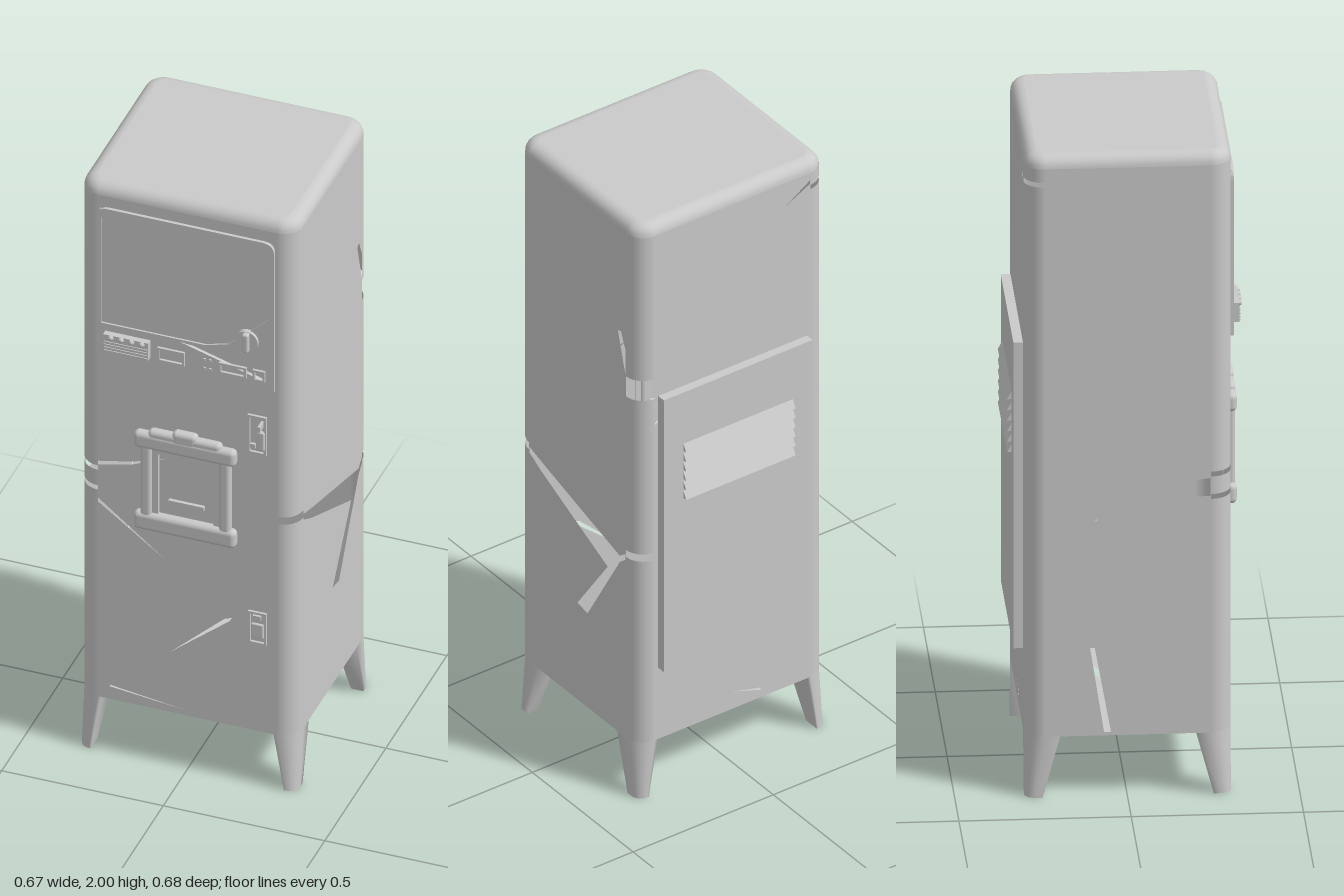
import * as THREE from 'three';
import { RoundedBoxGeometry } from 'three/addons/geometries/RoundedBoxGeometry.js';

const W = 0.337, D = 0.3005, R = 0.06;      // half width, half depth, corner radius
const BASE = 0.19, SHOULDER = 1.962, TOP = 2, ZC = 0.0025;
const FRONT = 0.303, BACK = -0.298;

export function createModel() {
  const model = new THREE.Group();
  const grey = new THREE.MeshStandardMaterial({ color: 0xcacaca, side: THREE.DoubleSide });
  grey.name = 'grey metal';

  const add = (name, geo, x = 0, y = 0, z = 0, parent = model) => {
    const m = new THREE.Mesh(geo, grey);
    m.name = name;
    m.position.set(x, y, z);
    parent.add(m);
    return m;
  };
  // box given by its x, y and z ranges
  const block = (name, x0, x1, y0, y1, z0, z1, r = 0) => {
    const s = [x1 - x0, y1 - y0, z1 - z0];
    const g = r ? new RoundedBoxGeometry(...s, 3, r) : new THREE.BoxGeometry(...s);
    return add(name, g, (x0 + x1) / 2, (y0 + y1) / 2, (z0 + z1) / 2);
  };
  const poly = (pts, T = THREE.Path) => new T(pts.map(p => new THREE.Vector2(...p)));
  const extrude = (shape, depth) => new THREE.ExtrudeGeometry(shape, { depth, bevelEnabled: false, curveSegments: 6 });
  // thin pointed sliver between two points
  const sliver = (x0, y0, x1, y1, w) => [[x0, y0 + w / 2], [x0, y0 - w / 2], [x1, y1]];

  // rounded rectangle ring of the cabinet plan, as [x, z]
  const ring = inset => {
    const pts = [], r = R - inset;
    for (let c = 0; c < 4; c++) for (let i = 0; i <= 6; i++) {
      const a = (c + i / 6) * Math.PI / 2;
      const sx = c === 0 || c === 3 ? 1 : -1, sz = c < 2 ? 1 : -1;
      pts.push([sx * (W - R) + r * Math.cos(a), sz * (D - R) + r * Math.sin(a)]);
    }
    return pts;
  };
  // skin through closed sections of [x, y, z]
  const loft = sections => {
    const n = sections[0].length, idx = [];
    for (let s = 0; s < sections.length - 1; s++) for (let i = 0; i < n; i++) {
      const a = s * n + i, b = s * n + (i + 1) % n;
      idx.push(a, a + n, b, b, a + n, b + n);
    }
    const g = new THREE.BufferGeometry();
    g.setAttribute('position', new THREE.Float32BufferAttribute(sections.flat(2), 3));
    g.setIndex(idx);
    g.computeVertexNormals();
    return g;
  };

  // cabinet walls with open cracks
  const wall = (name, half, angle, x, z, cracks) => {
    const s = poly([[-half, BASE], [half, BASE], [half, SHOULDER], [-half, SHOULDER]], THREE.Shape);
    cracks.forEach(c => s.holes.push(poly(c)));
    add(name, new THREE.ShapeGeometry(s), x, 0, z).rotation.y = angle;
  };
  const hw = W - R, hd = D - R;
  wall('frontWall', hw, 0, 0, FRONT, [
    [[-0.276, 1.022], [-0.276, 1.008], [-0.17, 1.035], [-0.04, 1.09], [-0.17, 1.045]],
    sliver(-0.276, 0.885, -0.05, 0.71, 0.014),
    [[-0.055, 0.4], [0.13, 0.555], [0.14, 0.57], [0.115, 0.56]],
    sliver(0.276, 0.985, 0.25, 1.005, 0.01),
    sliver(-0.24, 0.237, 0, 0.207, 0.006),
    sliver(0.225, 1.395, 0.15, 1.29, 0.015),
  ]);
  wall('rightWall', hd, Math.PI / 2, W, ZC, [
    [[-0.239, 0.945], [-0.239, 0.925], [-0.18, 0.892], [0.15, 0.74], [0, 0.53], [0.05, 0.52],
      [0.21, 0.79], [0.239, 0.815], [0.239, 0.835], [0.21, 0.812], [-0.15, 0.917]],
    [[0.2, 1.6], [0.215, 1.605], [0.239, 1.55], [0.239, 1.46]],
  ]);
  wall('backWall', hw, Math.PI, 0, BACK, [
    [[-0.276, 1.38], [-0.276, 1.25], [-0.2, 0.89], [-0.215, 0.89]],
    sliver(0.276, 1.93, 0.19, 1.88, 0.012),
    sliver(-0.276, 0.89, -0.15, 0.9, 0.02),
    sliver(0.1, 0.22, 0.0, 0.25, 0.008),
  ]);
  wall('leftWall', hd, -Math.PI / 2, -W, ZC, [
    [[-0.239, 1.925], [-0.239, 1.91], [-0.15, 1.8], [0.065, 1.55], [0.09, 1.33], [0.1, 1.33], [0.085, 1.57], [-0.14, 1.83]],
    [[-0.1, 0.86], [0.13, 0.925], [0.239, 0.93], [0.239, 0.985], [0.1, 0.97]],
    [[-0.175, 0.83], [-0.15, 0.72], [-0.07, 0.2], [-0.05, 0.2], [-0.125, 0.62], [-0.155, 0.83]],
  ]);

  // rounded corners, broken where cracks pass through
  const corner = (name, sx, sz, start, gaps) => {
    const ends = [BASE, ...gaps, SHOULDER];
    for (let i = 0; i < ends.length; i += 2) {
      const h = ends[i + 1] - ends[i];
      add(name, new THREE.CylinderGeometry(R, R, h, 8, 1, true, start * Math.PI / 2, Math.PI / 2),
        sx * hw, ends[i] + h / 2, ZC + sz * hd);
    }
  };
  corner('frontRightCorner', 1, 1, 0, [0.935, 0.96]);
  corner('backRightCorner', 1, -1, 1, [0.825, 0.85, 1.39, 1.46]);
  corner('backLeftCorner', -1, -1, 2, [1.905, 1.92]);
  corner('frontLeftCorner', -1, 1, 3, [0.92, 0.935, 0.99, 1.005]);

  // softened roof edge, roof and floor
  const edge = TOP - SHOULDER, rings = [];
  for (let i = 0; i <= 6; i++) {
    const a = i / 6 * Math.PI / 2;
    rings.push(ring(edge * (1 - Math.cos(a))).map(([x, z]) => [x, SHOULDER + edge * Math.sin(a), z]));
  }
  add('roofEdge', loft(rings), 0, 0, ZC);
  const roofShape = poly(ring(edge), THREE.Shape);
  add('roof', new THREE.ShapeGeometry(roofShape), 0, TOP, ZC).rotation.x = -Math.PI / 2;
  const floorShape = poly(ring(0), THREE.Shape);
  floorShape.holes.push(poly([[0.0, -0.02], [0.24, -0.1], [0.25, -0.08], [0.02, 0.0]]));
  add('floor', new THREE.ShapeGeometry(floorShape), 0, BASE, ZC).rotation.x = Math.PI / 2;

  // tapered corner legs
  const legSection = (y, a, b, r) => {
    const pts = [[W - a, y, D - b], [W, y, D - b]];
    for (let i = 0; i <= 6; i++) {
      const t = i / 6 * Math.PI / 2;
      pts.push([W - r + r * Math.cos(t), y, D - r + r * Math.sin(t)]);
    }
    pts.push([W - a, y, D]);
    return pts;
  };
  const foot = legSection(0, 0.038, 0.052, 0.033);
  const legGeo = loft([foot, legSection(BASE, 0.07, 0.103, R)]);
  const soleGeo = new THREE.ShapeGeometry(poly(foot.map(p => [p[0], p[2]]), THREE.Shape));
  for (const sx of [1, -1]) for (const sz of [1, -1]) {
    const leg = new THREE.Group();
    leg.name = 'leg';
    leg.position.z = ZC;
    leg.scale.set(sx, 1, sz);
    add('legSkin', legGeo, 0, 0, 0, leg);
    add('legSole', soleGeo, 0, 0.001, 0, leg).rotation.x = Math.PI / 2;
    model.add(leg);
  }

  // display frame with rounded top, and a broken pane inside it
  const frame = new THREE.Shape();
  frame.moveTo(-0.277, 1.405).lineTo(0.272, 1.405).lineTo(0.272, 1.89);
  frame.quadraticCurveTo(0.272, 1.925, 0.237, 1.925).lineTo(-0.24, 1.925);
  frame.quadraticCurveTo(-0.277, 1.925, -0.277, 1.89);
  frame.holes.push(poly([[-0.264, 1.52], [0.06, 1.52], [0.13, 1.54], [0.26, 1.66], [0.26, 1.89], [0.24, 1.912], [-0.24, 1.912], [-0.264, 1.89]]));
  frame.holes.push(poly([[-0.02, 1.512], [0.235, 1.438], [0.235, 1.455], [0.06, 1.505]]));
  add('displayFrame', extrude(frame, 0.01), 0, 0, FRONT);
  block('displayPane', -0.27, 0.265, 1.515, 1.918, FRONT, FRONT + 0.004);

  // selection buttons
  block('buttonBox', -0.25, -0.11, 1.435, 1.495, FRONT, 0.332);
  for (const x of [-0.226, -0.194, -0.162, -0.13])
    add('button', new THREE.SphereGeometry(0.009, 12, 8), x, 1.487, 0.332);
  for (let i = 0; i < 4; i++) block('buttonBoxRib', -0.247, -0.113, 1.439 + i * 0.01, 1.443 + i * 0.01, 0.33, 0.335);

  // small labels with raised rims
  const rimmed = (name, x0, x1, y0, y1, z, t = 0.007) => {
    const s = poly([[x0, y0], [x1, y0], [x1, y1], [x0, y1]], THREE.Shape);
    s.holes.push(poly([[x0 + t, y0 + t], [x1 - t, y0 + t], [x1 - t, y1 - t], [x0 + t, y1 - t]]));
    add(name, extrude(s, 0.008), 0, 0, z);
  };
  rimmed('priceLabel', -0.087, -0.003, 1.432, 1.48, 0.313);
  rimmed('noticeLabel', 0.103, 0.188, 1.436, 1.474, 0.313);
  rimmed('smallLabel', 0.208, 0.246, 1.436, 1.474, 0.313);
  for (const y of [1.436, 1.467]) for (const x of [0.055, 0.072]) block('stud', x, x + 0.007, y, y + 0.007, 0.312, 0.318);

  // turning knob
  add('knobPlate', new THREE.CylinderGeometry(0.034, 0.036, 0.012, 24), 0.19, 1.57, 0.315).rotation.x = Math.PI / 2;
  block('knobGrip', 0.18, 0.2, 1.538, 1.602, 0.315, 0.337, 0.006);

  // coin slot and lever
  rimmed('coinPlate', 0.188, 0.247, 1.17, 1.305, FRONT, 0.008);
  block('coinLever', 0.23, 0.238, 1.27, 1.288, FRONT, 0.338);
  block('coinGuide', 0.221, 0.243, 1.19, 1.255, FRONT, 0.318, 0.005);
  block('coinLatch', 0.198, 0.213, 1.19, 1.205, FRONT, 0.312);

  // dispensing bay
  block('bayLowerBar', -0.16, 0.157, 0.828, 0.89, 0.296, 0.331, 0.016);
  block('bayUpperBar', -0.16, 0.157, 1.115, 1.172, 0.296, 0.331, 0.016);
  block('bayCrown', -0.115, 0.112, 1.13, 1.185, 0.296, 0.329, 0.014);
  block('bayCrownTop', -0.04, 0.037, 1.14, 1.197, 0.296, 0.33, 0.014);
  for (const s of [-1, 1]) {
    block('bayPost', s * 0.122 - 0.018, s * 0.122 + 0.018, 0.87, 1.13, 0.296, 0.327, 0.012);
    block('bayInnerPost', s * 0.095 - 0.009, s * 0.095 + 0.009, 0.88, 1.12, 0.3, 0.316);
  }
  block('bayLintel', -0.09, 0.09, 1.1, 1.12, 0.3, 0.316);
  block('bayHandle', -0.055, 0.055, 0.932, 0.944, 0.3, 0.314);

  // change return
  rimmed('returnPlate', 0.19, 0.247, 0.5, 0.612, FRONT, 0.007);
  block('returnFlap', 0.2, 0.238, 0.522, 0.572, FRONT, 0.313, 0.004);
  block('returnTab', 0.205, 0.23, 0.585, 0.6, FRONT, 0.312);

  // rear service panel with louvres
  block('servicePanel', -0.265, 0.265, 0.44, 1.395, -0.326, BACK);
  const slat = poly([[0, 0], [0.014, 0], [0, 0.026]], THREE.Shape);
  const slatGeo = extrude(slat, 0.39);
  for (let i = 0; i < 6; i++)
    add('louvre', slatGeo, 0.195, 1.025 + i * 0.033, -0.3255).rotation.y = 0;
  model.children.filter(m => m.name === 'louvre').forEach(m => { m.rotation.y = Math.PI / 2; m.position.x = -0.195; });
  // turn each slat so its lip points backwards
  model.children.filter(m => m.name === 'louvre').forEach(m => { m.scale.x = 1; });

  return model;
}
